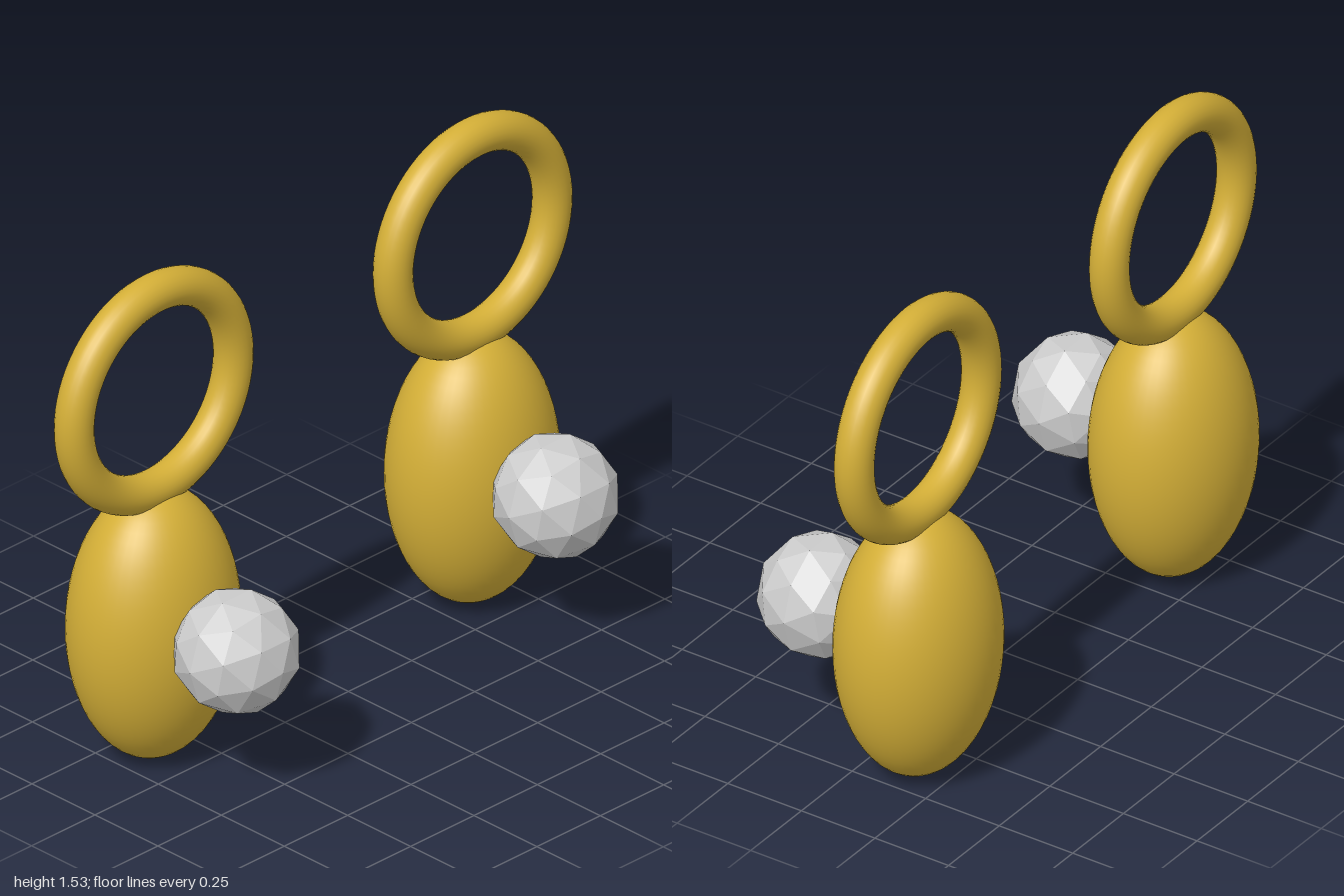
import * as THREE from 'three';

const gold = new THREE.MeshStandardMaterial({ color: 0xd4af37 });
const pearl = new THREE.MeshStandardMaterial({ color: 0xf0f0f0, flatShading: true });

function part(name, geometry, material, x, y, z) {
  const mesh = new THREE.Mesh(geometry, material);
  mesh.name = name;
  mesh.position.set(x, y, z);
  return mesh;
}

function makeEarring(name) {
  const earring = new THREE.Group();
  earring.name = name;

  // Upright hoop at the top
  earring.add(part('hoop', new THREE.TorusGeometry(0.314, 0.057, 24, 72), gold, 0, 1.167, -0.14));

  // Smooth elongated drop, slightly flattened front to back
  const drop = new THREE.SphereGeometry(1, 48, 32).scale(0.265, 0.423, 0.229);
  earring.add(part('drop', drop, gold, 0, 0.43, -0.142));

  // Faceted bead, one corner pointing forward
  const bead = new THREE.IcosahedronGeometry(0.184, 1);
  bead.rotateX(Math.atan(2 / (1 + Math.sqrt(5))));
  earring.add(part('bead', bead, pearl, 0, 0.462, 0.189));

  return earring;
}

export function createModel() {
  const model = new THREE.Group();
  model.name = 'earrings';
  for (const side of [-1, 1]) {
    const earring = makeEarring(side > 0 ? 'leftEarring' : 'rightEarring');
    earring.position.set(side * 0.629, -0.007, 0);
    model.add(earring);
  }
  return model;
}
